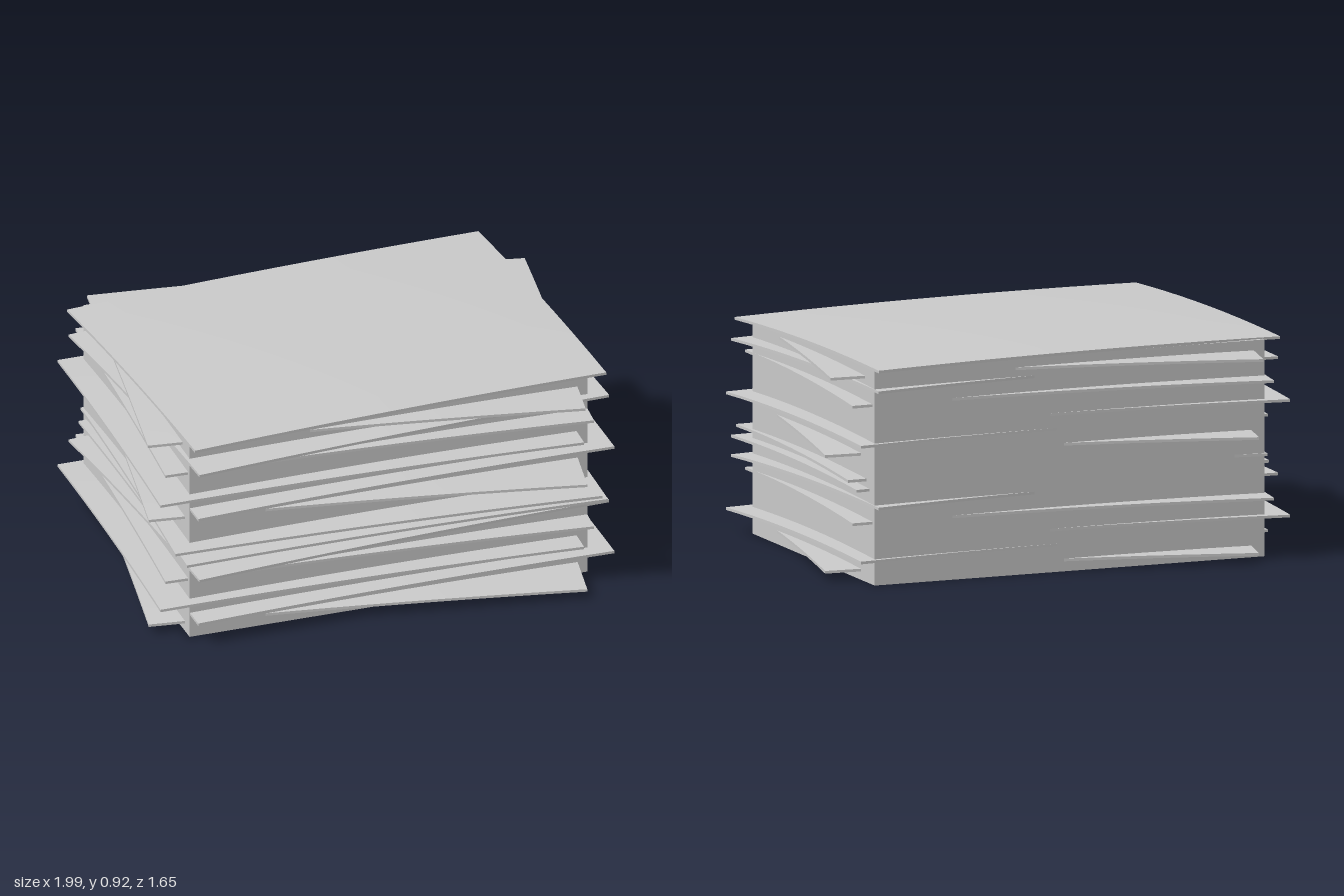
import * as THREE from 'three';

const WIDTH = 1.79, DEPTH = 1.34, THICK = 0.011;
const SAG_X = 0.01, SAG_Z = 0.015;

// One sheet, top centre at y = 0, drooping gently towards its edges
function sheetGeometry() {
  const geo = new THREE.BoxGeometry(WIDTH, THICK, DEPTH, 12, 1, 10);
  geo.translate(0, -THICK / 2, 0);
  const p = geo.attributes.position;
  for (let i = 0; i < p.count; i++) {
    const u = p.getX(i) / (WIDTH / 2), v = p.getZ(i) / (DEPTH / 2);
    p.setY(i, p.getY(i) - SAG_X * u * u - SAG_Z * v * v);
  }
  geo.computeVertexNormals();
  return geo;
}

// Height of the top, x and z of the centre, turn about y; bottom to top
const SHEETS = [
  [0.067, 0, 0.015, -0.17],
  [0.13, 0.035, 0.01, 0.02],
  [0.193, -0.075, 0.005, -0.03],
  [0.28, -0.005, -0.025, -0.07],
  [0.35, -0.003, 0.02, 0.06],
  [0.41, 0.003, 0.055, -0.012],
  [0.446, -0.003, 0.05, -0.055],
  [0.54, 0, 0.015, -0.17],
  [0.603, 0.035, 0.01, 0.02],
  [0.665, -0.075, 0.005, -0.03],
  [0.76, -0.005, -0.025, -0.07],
  [0.825, -0.003, 0.02, 0.06],
  [0.863, 0, -0.02, -0.16],
  [0.915, 0, -0.015, 0.05],
];

export function createModel() {
  const model = new THREE.Group();
  model.name = 'paperStack';
  const material = new THREE.MeshStandardMaterial({ color: 0xcccccc });

  // Solid block of aligned pages
  const core = new THREE.Mesh(new THREE.BoxGeometry(1.7, 0.886, 1.265), material);
  core.name = 'pageBlock';
  core.position.set(0, 0.443, -0.028);
  model.add(core);

  // Loose sheets sticking out of the block
  const geo = sheetGeometry();
  SHEETS.forEach(([y, x, z, turn], i) => {
    const sheet = new THREE.Mesh(geo, material);
    sheet.name = `looseSheet${i + 1}`;
    sheet.position.set(x, y, z);
    sheet.rotation.y = turn;
    model.add(sheet);
  });

  return model;
}
